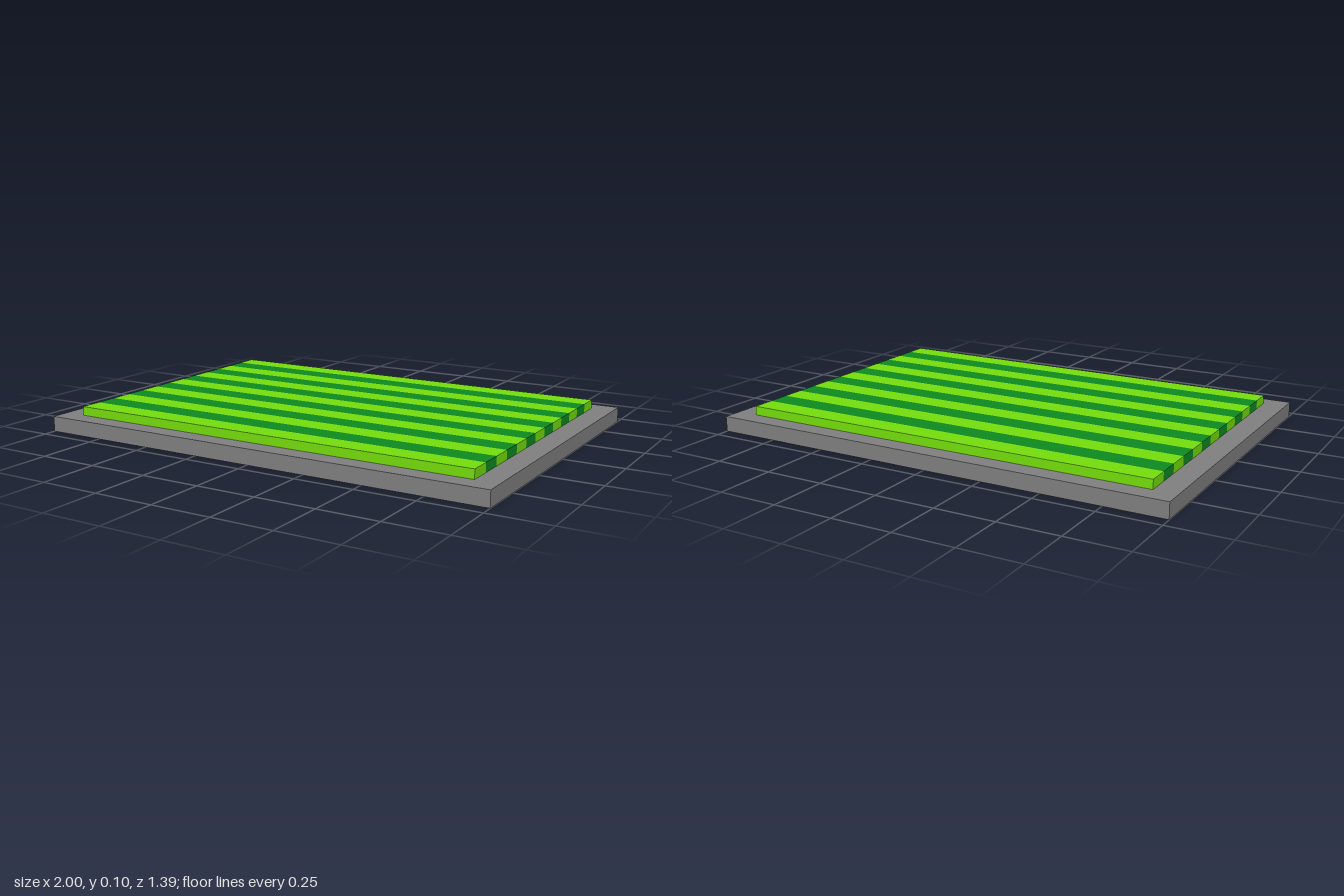
import * as THREE from 'three';

const BASE = { width: 2, height: 0.065, depth: 1.39 };
const LAWN = { width: 1.81, height: 0.038, depth: 1.23, stripes: 13 };

function box(name, width, height, depth, y, z, material) {
  const mesh = new THREE.Mesh(new THREE.BoxGeometry(width, height, depth), material);
  mesh.name = name;
  mesh.position.set(0, y + height / 2, z);
  return mesh;
}

export function createModel() {
  const model = new THREE.Group();
  model.name = 'stripedLawn';

  const stone = new THREE.MeshStandardMaterial({ color: 0x7f7f7f });
  const lightGrass = new THREE.MeshStandardMaterial({ color: 0x74dd0c });
  const darkGrass = new THREE.MeshStandardMaterial({ color: 0x0d8a20 });

  // Flat slab under the lawn
  model.add(box('base', BASE.width, BASE.height, BASE.depth, 0, 0, stone));

  // Mown stripes, alternating light and dark from back to front
  const lawn = new THREE.Group();
  lawn.name = 'lawn';
  const stripeDepth = LAWN.depth / LAWN.stripes;
  for (let i = 0; i < LAWN.stripes; i++) {
    const light = i % 2 === 0;
    const z = (i + 0.5) * stripeDepth - LAWN.depth / 2;
    lawn.add(box(light ? 'lightStripe' : 'darkStripe', LAWN.width, LAWN.height, stripeDepth,
      BASE.height, z, light ? lightGrass : darkGrass));
  }
  model.add(lawn);

  return model;
}
